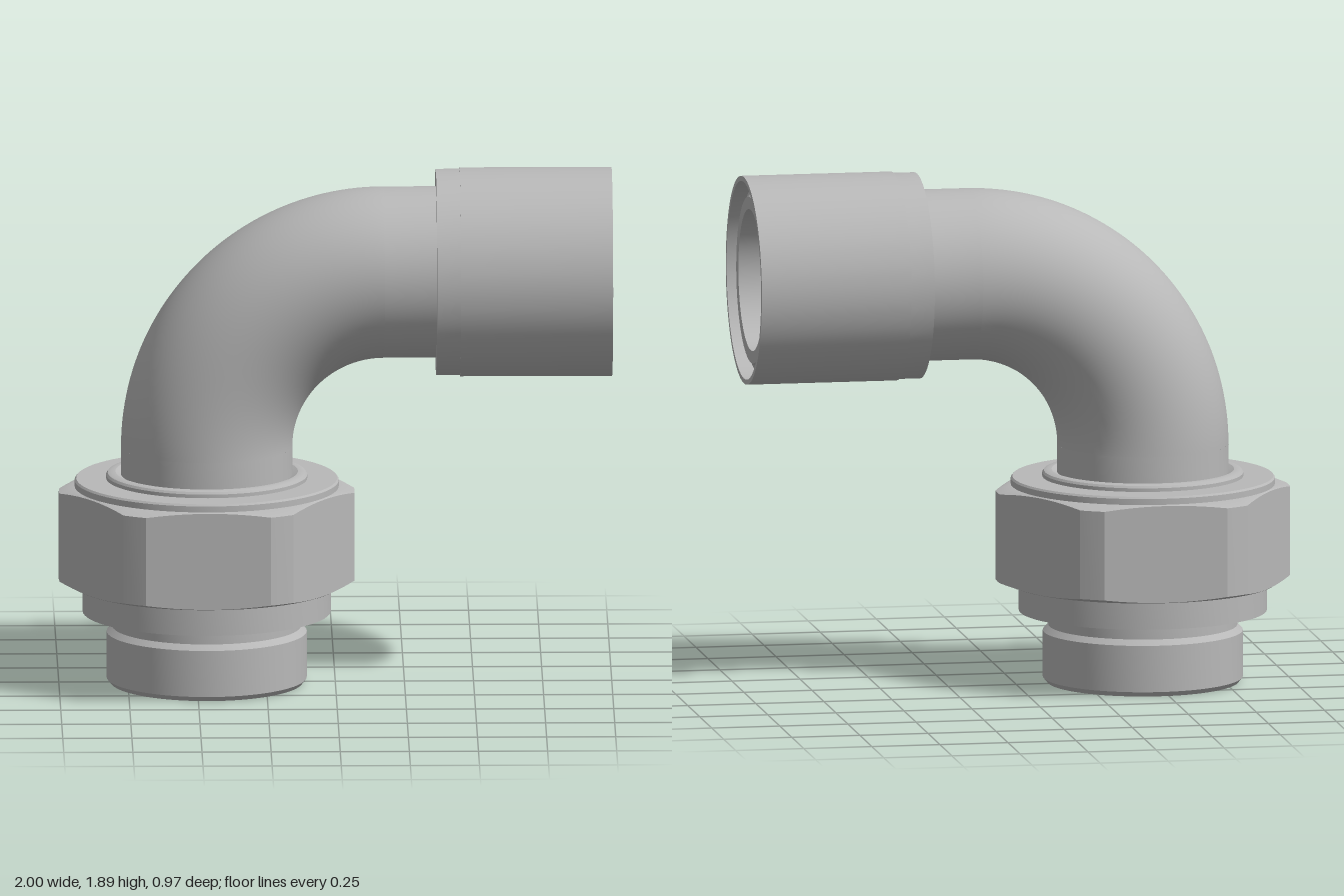
import * as THREE from 'three';
import { toCreasedNormals } from 'three/addons/utils/BufferGeometryUtils.js';

const AXIS_X = -0.465;   // vertical leg axis
const AXIS_Y = 1.511;    // horizontal leg axis
const BEND = 0.64;       // bend radius of the centre line
const PIPE = 0.31, BORE = 0.257;
const SEGMENTS = 72;

export function createModel() {
  const group = new THREE.Group();
  const steel = new THREE.MeshStandardMaterial({ color: 0xb8b8b8, side: THREE.DoubleSide });
  steel.name = 'grey steel';

  const add = (name, geometry, x, y) => {
    const mesh = new THREE.Mesh(geometry, steel);
    mesh.name = name;
    mesh.position.set(x, y, 0);
    group.add(mesh);
    return mesh;
  };
  const lathe = (profile) =>
    new THREE.LatheGeometry(profile.map(([r, y]) => new THREE.Vector2(r, y)), SEGMENTS);
  const crease = (geometry) => toCreasedNormals(geometry, 0.4);

  // Spigot with groove and shoulder, hollow
  add('spigot', crease(lathe([
    [BORE, 0.36], [0.27, 0.3], [0.27, 0], [0.347, 0], [0.362, 0.018], [0.362, 0.188],
    [0.342, 0.208], [0.342, 0.245], [0.347, 0.256], [0.358, 0.262],
    [0.449, 0.262], [0.449, 0.364], [0.4, 0.364],
  ])), AXIS_X, 0);

  // Hexagonal nut: a lathe whose middle rows follow a hexagon with turned corners
  const apothem = 0.485, cornerRadius = apothem / Math.cos(THREE.MathUtils.degToRad(25));
  const nutProfile = [[0.4, 0.364], [0.484, 0.364], [0.5, 0.37], [0.5, 0.72], [0.478, 0.724], [0.4, 0.724]];
  const nut = lathe(nutProfile);
  const pos = nut.attributes.position;
  const sector = Math.PI / 3;
  for (let i = 0; i < pos.count; i++) {
    const row = i % nutProfile.length;
    if (row !== 2 && row !== 3) continue;
    const angle = Math.floor(i / nutProfile.length) / SEGMENTS * Math.PI * 2;
    const a = ((angle + sector / 2) % sector) - sector / 2;
    const r = Math.min(apothem / Math.cos(a), cornerRadius);
    // Conical chamfer makes the edge dip towards the corners
    const dip = 0.3 * (r - 0.48);
    pos.setXYZ(i, r * Math.sin(angle), row === 2 ? 0.364 + dip : 0.722 - dip, r * Math.cos(angle));
  }
  add('hexNut', crease(nut), AXIS_X, 0);

  // Round face on top of the nut
  add('nutFlange', crease(lathe([
    [0.478, 0.72], [0.478, 0.746], [0.472, 0.753], [0.33, 0.753],
  ])), AXIS_X, 0);

  // Pipe collar and short vertical leg
  add('pipeCollar', crease(lathe([
    [0.364, 0.75], [0.364, 0.766], [0.358, 0.774], [0.346, 0.778], [0.33, 0.778], [PIPE, 0.768],
  ])), AXIS_X, 0);
  add('verticalLeg', crease(lathe([[PIPE, 0.74], [PIPE, AXIS_Y - BEND]])), AXIS_X, 0);
  add('verticalBore', crease(lathe([[BORE, AXIS_Y - BEND], [BORE, 0.36]])), AXIS_X, 0);

  // Quarter bend, outside and bore
  for (const [name, radius] of [['bend', PIPE], ['bendBore', BORE]]) {
    const quarter = new THREE.TorusGeometry(BEND, radius, 64, 48, Math.PI / 2);
    quarter.rotateZ(Math.PI / 2);
    add(name, quarter, AXIS_X + BEND, AXIS_Y - BEND);
  }

  // Horizontal parts are turned along y and laid over towards +x
  const addHorizontal = (name, profile) => {
    const geometry = lathe(profile);
    geometry.rotateZ(-Math.PI / 2);
    add(name, crease(geometry), 0, AXIS_Y);
  };
  const bendEnd = AXIS_X + BEND;
  addHorizontal('horizontalLeg', [[PIPE, bendEnd], [PIPE, 0.4]]);
  addHorizontal('socketSleeve', [
    [PIPE, 0.364], [0.373, 0.364], [0.373, 0.45], [0.378, 0.45], [0.378, 1],
    [0.36, 1], [0.36, 0.87], [0.335, 0.87],
  ]);
  addHorizontal('socketInnerTube', [
    [0.335, 0.87], [0.335, 0.955], [0.31, 0.965], [0.302, 0.975], [BORE, 0.975], [BORE, bendEnd],
  ]);

  return group;
}
